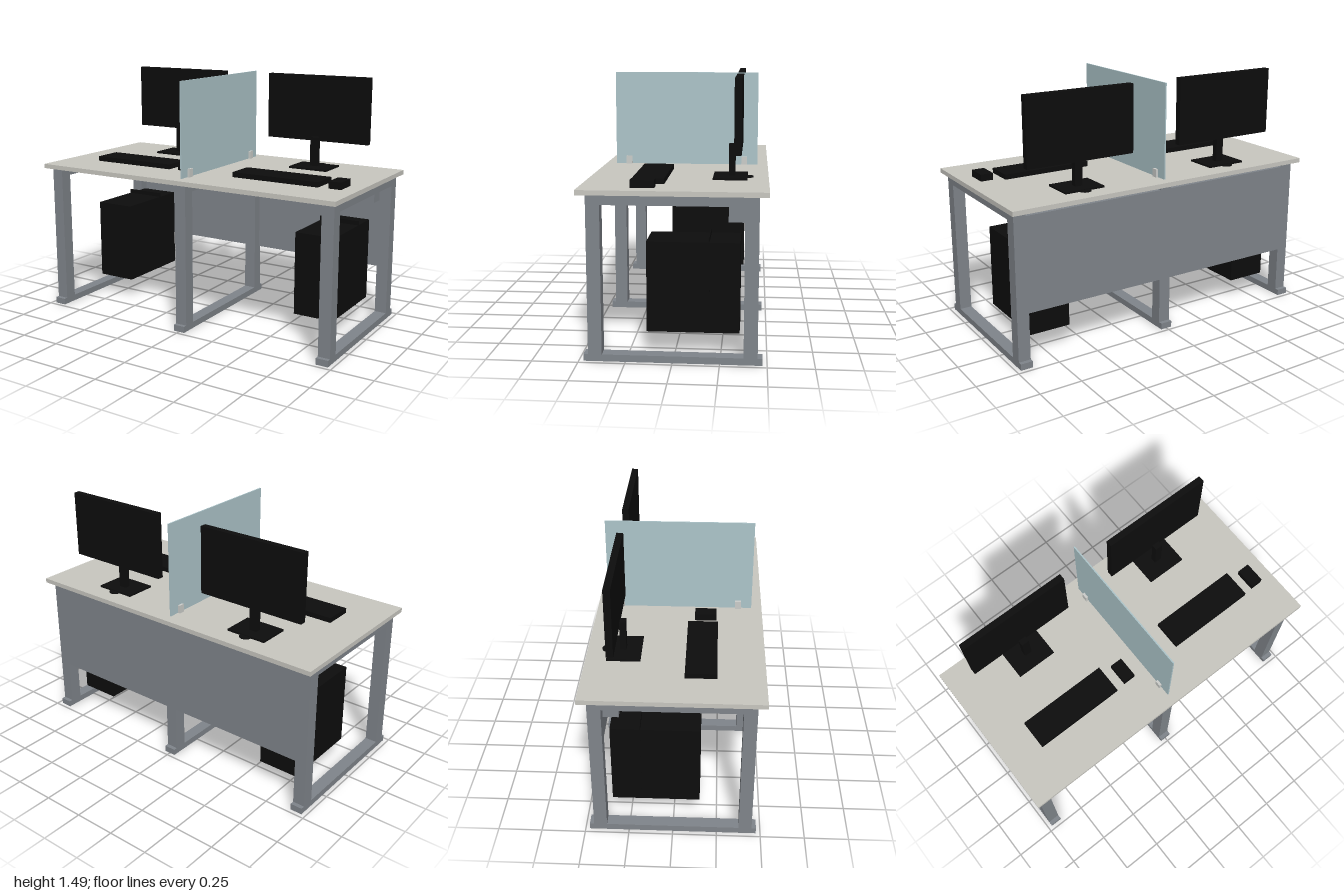
import * as THREE from 'three';

const mat = (name, color) => {
  const m = new THREE.MeshStandardMaterial({ color });
  m.name = name;
  return m;
};

export function createModel() {
  const steel = mat('grey steel', 0x80858b);
  const laminate = mat('pale laminate', 0xc9c8c1);
  const glass = mat('blue grey panel', 0xaec6cb);
  const black = mat('black plastic', 0x0d0d0d);
  const clipGrey = mat('clip grey', 0xcccecb);

  const root = new THREE.Group();
  root.name = 'doubleDesk';

  const group = (name, parent = root) => {
    const g = new THREE.Group();
    g.name = name;
    parent.add(g);
    return g;
  };
  // box given by its limits on each axis
  const box = (parent, name, material, [x0, x1], [y0, y1], [z0, z1]) => {
    const mesh = new THREE.Mesh(new THREE.BoxGeometry(x1 - x0, y1 - y0, z1 - z0), material);
    mesh.position.set((x0 + x1) / 2, (y0 + y1) / 2, (z0 + z1) / 2);
    mesh.name = name;
    parent.add(mesh);
    return mesh;
  };

  box(root, 'tabletop', laminate, [-1, 1], [0.9, 0.927], [-0.5, 0.5]);

  // three rectangular leg frames
  for (const x of [-0.9375, 0, 0.9375]) {
    const frame = group('legFrame');
    const w = [x - 0.0365, x + 0.0365];
    box(frame, 'foot', steel, w, [0, 0.038], [-0.475, 0.475]);
    box(frame, 'topRail', steel, w, [0.846, 0.9], [-0.376, 0.376]);
    box(frame, 'frontLeg', steel, w, [0.038, 0.9], [0.376, 0.45]);
    box(frame, 'backLeg', steel, w, [0.038, 0.9], [-0.45, -0.376]);
  }

  // back panel and cable trays
  box(root, 'modestyPanel', steel, [-0.901, 0.901], [0.315, 0.873], [-0.45, -0.435]);
  for (const s of [-1, 1]) {
    const [a, b] = [s * 0.0365, s * 0.901].sort((p, q) => p - q);
    box(root, 'cableTray', steel, [a, b], [0.75, 0.873], [-0.45, -0.29]);
  }

  // dividing screen with its clips
  box(root, 'dividerScreen', glass, [-0.004, 0.004], [0.927, 1.49], [-0.437, 0.437]);
  for (const z of [-0.356, 0.356]) {
    box(root, 'screenClip', clipGrey, [-0.019, 0.019], [0.927, 0.976], [z - 0.018, z + 0.018]);
  }

  // one workstation on each half
  for (const s of [-1, 1]) {
    const x = s * 0.5;
    const station = group(s > 0 ? 'leftWorkstation' : 'rightWorkstation');

    const monitor = group('monitor', station);
    box(monitor, 'display', black, [x - 0.337, x + 0.337], [1.09, 1.49], [-0.352, -0.313]);
    box(monitor, 'standPost', black, [x - 0.024, x + 0.024], [0.93, 1.116], [-0.314, -0.278]);
    box(monitor, 'standBase', black, [x - 0.125, x + 0.125], [0.927, 0.938], [-0.382, -0.192]);
    const disc = new THREE.Mesh(new THREE.CylinderGeometry(0.036, 0.036, 0.007, 24), black);
    disc.position.set(x, 0.9305, -0.38);
    disc.name = 'standBackDisc';
    monitor.add(disc);

    box(station, 'keyboard', black, [x - 0.275, x + 0.275], [0.927, 0.957], [0.059, 0.234]);
    box(station, 'mouse', black, [x + 0.335, x + 0.41], [0.927, 0.968], [0.098, 0.226]);

    // computer tower hung under the desk, with a thin strap around it
    const c = s * 0.725;
    const tower = group('computer', station);
    box(tower, 'computerCase', black, [c - 0.125, c + 0.125], [0.13, 0.628], [-0.352, 0.15]);
    box(tower, 'hangingStrap', black, [c - 0.126, c + 0.126], [0.129, 0.654], [-0.188, -0.183]);
  }

  return root;
}
